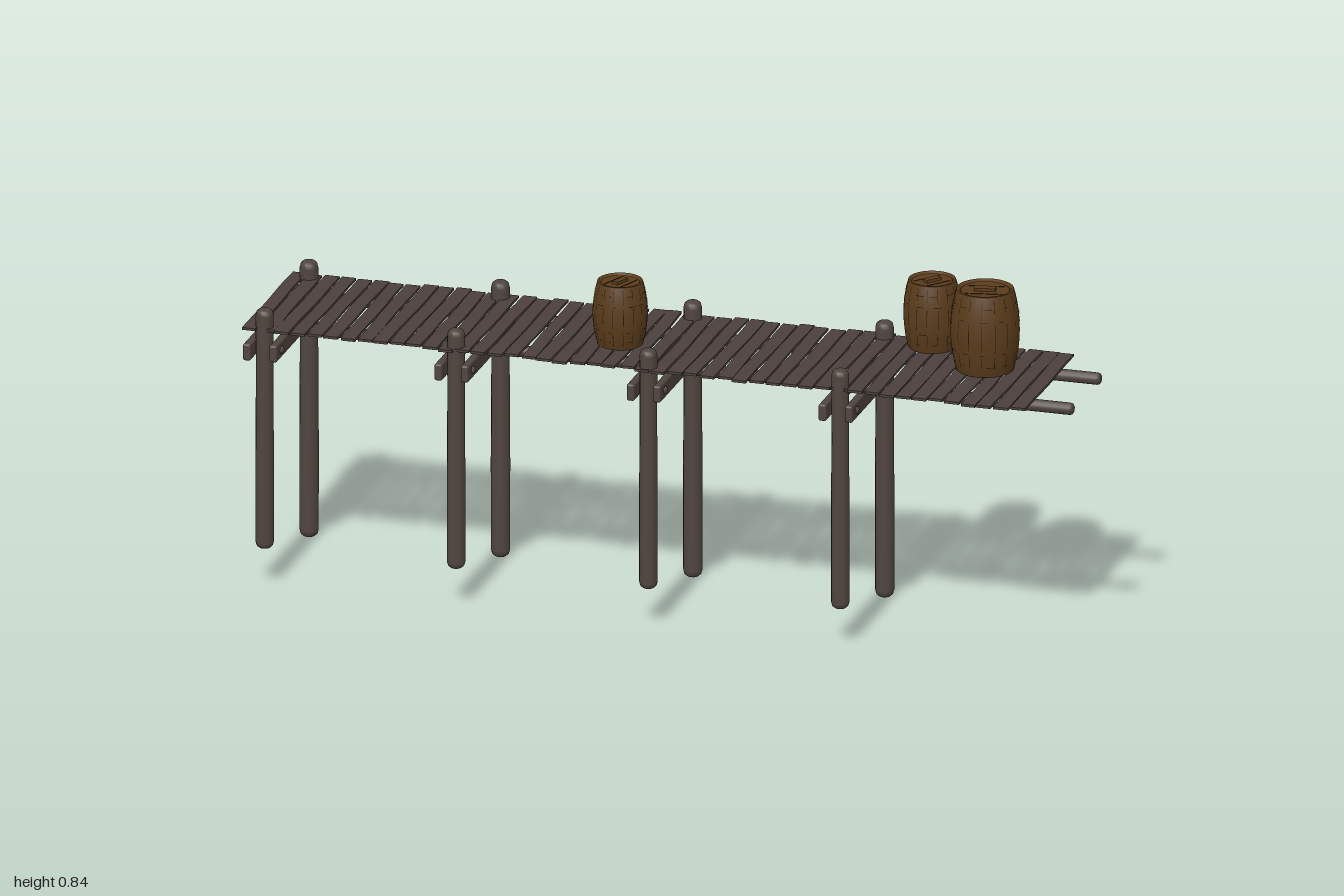
import * as THREE from 'three';
import { RoundedBoxGeometry } from 'three/addons/geometries/RoundedBoxGeometry.js';

const mat = (name, color, side = THREE.FrontSide) => {
  const m = new THREE.MeshStandardMaterial({ color, side });
  m.name = name;
  return m;
};

// small seeded generator, -1..1
function seeded(seed) {
  let s = seed;
  return () => {
    s = (s * 16807) % 2147483647;
    return (s / 2147483647) * 2 - 1;
  };
}

export function createModel() {
  const root = new THREE.Group();
  root.name = 'woodenPier';
  const rand = seeded(4711);

  const timber = mat('weathered timber', 0x50453f);
  const plankWood = mat('deck wood', 0x4b403c);
  const barrelWood = mat('barrel wood', 0x5a3c1b);
  const seamDark = mat('dark seam', 0x21170c, THREE.DoubleSide);

  const add = (parent, name, geo, material, x = 0, y = 0, z = 0) => {
    const m = new THREE.Mesh(geo, material);
    m.name = name;
    m.position.set(x, y, z);
    parent.add(m);
    return m;
  };

  // round log with softened ends, standing from y = 0 to h
  const logGeometry = (r, h, e) => new THREE.LatheGeometry([
    [0, 0], [r * 0.6, 0], [r * 0.88, e * 0.35], [r, e],
    [r * 1.01, h * 0.35], [r * 0.95, h * 0.7], [r * 0.97, h - e],
    [r * 0.85, h - e * 0.3], [r * 0.6, h], [0, h],
  ].map(([x, y]) => new THREE.Vector2(x, y)), 14);

  // trestles: two posts, two clamping cross beams and bolts
  const boltGeo = new THREE.SphereGeometry(0.0095, 10, 6, 0, Math.PI * 2, 0, Math.PI / 2);
  boltGeo.scale(1, 0.8, 1);
  [-0.945, -0.48, -0.013, 0.453].forEach((x) => {
    const trestle = new THREE.Group();
    trestle.name = 'trestle';
    trestle.position.x = x;
    root.add(trestle);
    add(trestle, 'frontPost', logGeometry(0.0215, 0.587, 0.014), timber, 0, 0.092, 0.177);
    add(trestle, 'backPost', logGeometry(0.0225, 0.677, 0.016), timber, 0, 0, -0.173);
    [-1, 1].forEach((side) => {
      add(trestle, 'crossBeam', new RoundedBoxGeometry(0.019, 0.041, 0.434, 2, 0.005),
        timber, side * 0.031, 0.583, side * -0.003);
      [0.177, -0.173].forEach((z) => {
        const bolt = add(trestle, 'bolt', boltGeo, timber, side * 0.04, 0.583, z);
        bolt.rotation.z = -side * Math.PI / 2;
      });
    });
  });

  // long stringers under the deck
  [0.112, -0.103].forEach((z) => {
    const s = add(root, 'stringer', logGeometry(0.0145, 2, 0.008), timber, 1, 0.617, z);
    s.rotation.z = Math.PI / 2;
  });

  // uneven deck planks
  const count = 48;
  const pitch = 1.905 / count;
  for (let i = 0; i < count; i++) {
    const width = 0.0345 + rand() * 0.002;
    const geo = new THREE.BoxGeometry(width, 0.006, 0.396 + rand() * 0.008, 1, 1, 8);
    // gentle sway along the edges
    const p = geo.attributes.position;
    const phase = rand() * 3;
    for (let k = 0; k < p.count; k++) {
      p.setX(k, p.getX(k) + 0.0012 * Math.sin(p.getZ(k) * 22 + phase));
    }
    geo.computeVertexNormals();
    const plank = add(root, 'deckPlank', geo, plankWood,
      -0.995 + pitch * (i + 0.5), 0.634 + rand() * 0.0015, rand() * 0.004);
    plank.rotation.y = rand() * 0.012;
  }

  // barrels, sized by belly radius and height
  const barrel = (x, z, R, H, turn) => {
    const g = new THREE.Group();
    g.name = 'barrel';
    g.position.set(x, 0.637, z);
    g.rotation.y = turn;
    root.add(g);
    const rim = R * 0.83;
    const radius = (t) => rim + (R - rim) * (1 - (2 * t - 1) ** 2);
    const body = [];
    for (let i = 0; i <= 12; i++) body.push(new THREE.Vector2(radius(i / 12), (H * i) / 12));
    add(g, 'barrelBody', new THREE.LatheGeometry(body, 28), barrelWood);

    // rim, sunken lid and base
    const lip = [[rim, H], [rim * 0.9, H], [rim * 0.88, H - 0.005], [0, H - 0.005]]
      .map(([a, b]) => new THREE.Vector2(a, b));
    add(g, 'lid', new THREE.LatheGeometry(lip, 28), barrelWood);
    const base = add(g, 'base', new THREE.CircleGeometry(rim, 28), barrelWood);
    base.rotation.x = Math.PI / 2;
    const ring = add(g, 'lidSeam', new THREE.RingGeometry(rim * 0.83, rim * 0.88, 28), seamDark, 0, H - 0.0045, 0);
    ring.rotation.x = -Math.PI / 2;
    add(g, 'lidBoard', new THREE.BoxGeometry(rim * 0.75, 0.007, rim * 0.3), barrelWood, 0, H - 0.001, 0);
    [-1, 1].forEach((s) => add(g, 'lidGroove',
      new THREE.BoxGeometry(rim * 1.3, 0.001, 0.0015), seamDark, 0, H - 0.0045, s * rim * 0.4));

    // broken seams between the staves
    const staves = 16;
    for (let i = 0; i < staves; i++) {
      const a = (i / staves) * Math.PI * 2;
      [[0.04, 0.27], [0.32, 0.67], [0.73, 0.96]].forEach(([t0, t1]) => {
        const from = t0 + Math.abs(rand()) * 0.1;
        const geo = new THREE.PlaneGeometry(0.0016, 1, 1, 4);
        const p = geo.attributes.position;
        for (let k = 0; k < p.count; k++) {
          const t = from + (p.getY(k) + 0.5) * (t1 - from);
          p.setXYZ(k, p.getX(k), t * H, radius(t) + 0.0006);
        }
        geo.computeVertexNormals();
        add(g, 'staveSeam', geo, seamDark).rotation.y = a;
      });
    }
    // dashed hoop lines
    [0.13, 0.29, 0.7, 0.86].forEach((t) => {
      for (let i = 0; i < 10; i++) {
        const r = radius(t) + 0.0008;
        const arc = 0.22 + 0.14 * rand();
        add(g, 'hoopLine', new THREE.CylinderGeometry(r, r, 0.0018, 5, 1, true,
          i * 0.628 + rand() * 0.15, arc), seamDark, 0, t * H, 0);
      }
    });
  };
  barrel(-0.123, 0.042, 0.064, 0.154, 1.2);
  barrel(0.575, -0.152, 0.067, 0.165, 0.9);
  barrel(0.737, -0.043, 0.081, 0.197, 0.2);

  return root;
}
